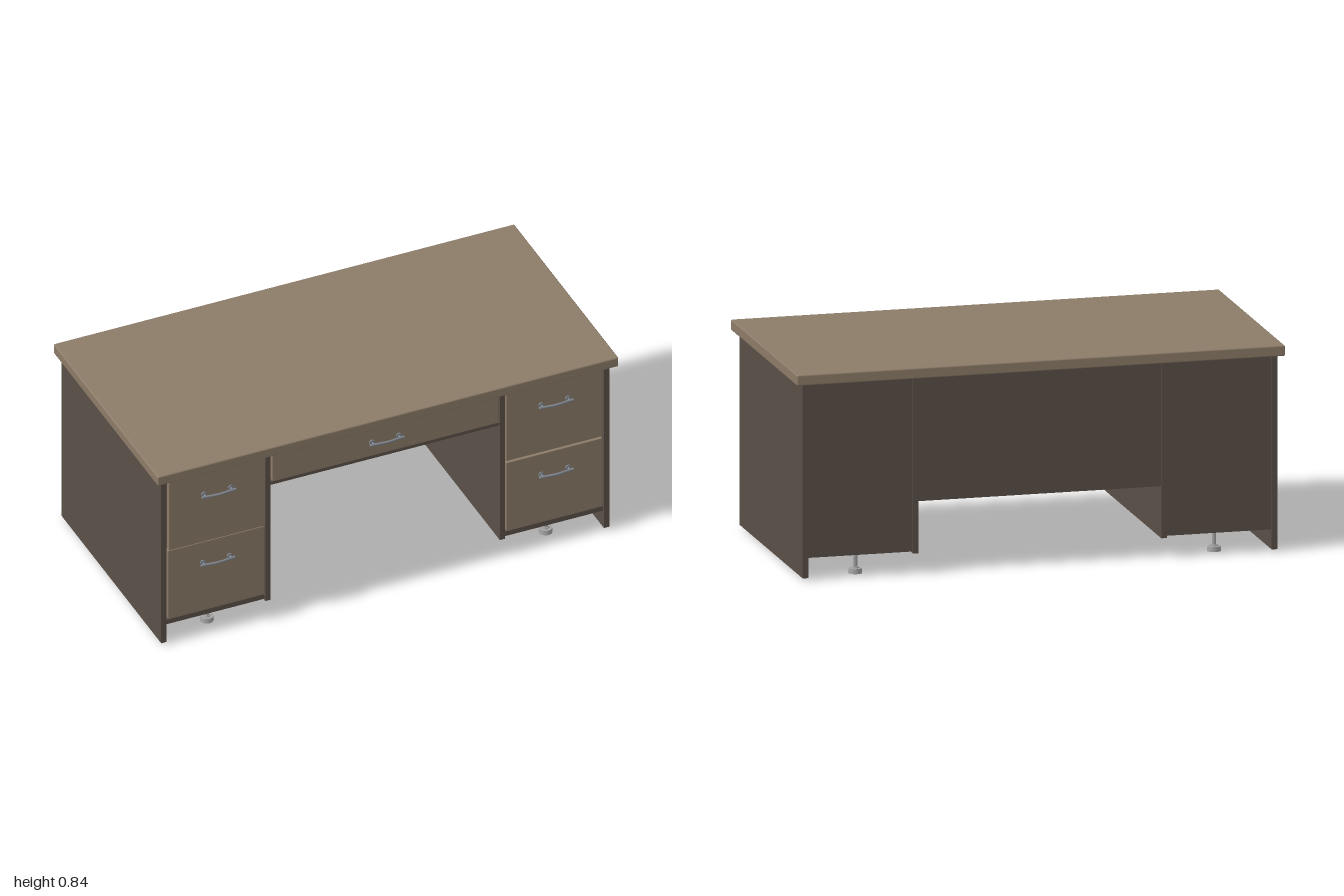
import * as THREE from 'three';
import { RoundedBoxGeometry } from 'three/addons/geometries/RoundedBoxGeometry.js';

const material = (name, color) => {
  const m = new THREE.MeshStandardMaterial({ color });
  m.name = name;
  return m;
};

export function createModel() {
  const desk = new THREE.Group();
  desk.name = 'desk';
  const tan = material('tan laminate', 0x8c7b68);
  const brown = material('dark brown panel', 0x5a5047);
  const steel = material('grey steel', 0x7d838a);
  const pale = material('pale metal', 0xa3a3a3);

  const add = (parent, name, geometry, mat, x = 0, y = 0, z = 0) => {
    const mesh = new THREE.Mesh(geometry, mat);
    mesh.name = name;
    mesh.position.set(x, y, z);
    parent.add(mesh);
    return mesh;
  };
  // Box given by its limits on each axis, with optional softened edges
  const slab = (parent, name, mat, [x0, x1], [y0, y1], [z0, z1], r = 0) => {
    const size = [x1 - x0, y1 - y0, z1 - z0];
    const geometry = r ? new RoundedBoxGeometry(...size, 2, r) : new THREE.BoxGeometry(...size);
    return add(parent, name, geometry, mat, (x0 + x1) / 2, (y0 + y1) / 2, (z0 + z1) / 2);
  };

  // Bow handle: two mounting plates, two posts and a slightly curved bar
  const bow = new THREE.CatmullRomCurve3([
    new THREE.Vector3(-0.07, 0, 0.02), new THREE.Vector3(-0.045, 0, 0.022),
    new THREE.Vector3(0, 0, 0.026), new THREE.Vector3(0.045, 0, 0.022),
    new THREE.Vector3(0.07, 0, 0.02),
  ]);
  const addHandle = (parent, x, y, z) => {
    const handle = new THREE.Group();
    handle.name = 'handle';
    handle.position.set(x, y, z);
    add(handle, 'handleBar', new THREE.TubeGeometry(bow, 20, 0.0055, 8), steel);
    for (const s of [-1, 1]) {
      const plate = add(handle, 'handlePlate', new THREE.CylinderGeometry(0.012, 0.012, 0.006, 16), steel, s * 0.058, 0, 0.003);
      const post = add(handle, 'handlePost', new THREE.CylinderGeometry(0.005, 0.005, 0.02, 10), steel, s * 0.058, 0, 0.011);
      const cap = add(handle, 'handleEnd', new THREE.SphereGeometry(0.0065, 10, 8), steel, s * 0.07, 0, 0.02);
      plate.rotation.x = post.rotation.x = Math.PI / 2;
      cap.scale.z = 0.9;
    }
    parent.add(handle);
  };

  // Drawer: front panel, hidden box and handle; pull slides it forward
  const addDrawer = (name, [x0, x1], [y0, y1], handleY, depth, pull = 0) => {
    const drawer = new THREE.Group();
    drawer.name = name;
    drawer.position.z = pull;
    slab(drawer, 'drawerFront', tan, [x0, x1], [y0, y1], [0.447, 0.47], 0.003);
    slab(drawer, 'drawerBox', brown, [x0 + 0.012, x1 - 0.012], [y0 + 0.012, y1 - 0.012], [0.45 - depth, 0.45]);
    addHandle(drawer, (x0 + x1) / 2, handleY, 0.47);
    desk.add(drawer);
  };

  // Desk top
  slab(desk, 'deskTop', tan, [-1, 1], [0.796, 0.84], [-0.506, 0.499], 0.006);

  // Two mirrored pedestals
  for (const s of [-1, 1]) {
    const side = s < 0 ? 'right' : 'left';
    const span = (a, b) => (s > 0 ? [a, b] : [-b, -a]);
    const pedestal = new THREE.Group();
    pedestal.name = side + 'Pedestal';
    desk.add(pedestal);
    slab(pedestal, 'outerPanel', brown, span(0.949, 0.972), [0.01, 0.796], [-0.49, 0.47]);
    slab(pedestal, 'innerPanel', brown, span(0.497, 0.52), [0.083, 0.796], [-0.49, 0.47]);
    slab(pedestal, 'pedestalBack', brown, span(0.52, 0.949), [0.09, 0.796], [-0.482, -0.46]);
    slab(pedestal, 'pedestalFloor', brown, span(0.52, 0.949), [0.09, 0.112], [-0.46, 0.463]);

    const pull = s < 0 ? 0.01 : 0;
    addDrawer(side + 'UpperDrawer', span(0.525, 0.943), [0.456, 0.787], 0.686, 0.86, pull);
    addDrawer(side + 'LowerDrawer', span(0.525, 0.943), [0.119, 0.448], 0.35, 0.86);

    // Levelling feet
    for (const z of [0.383, -0.407]) {
      const foot = new THREE.Group();
      foot.name = 'levellingFoot';
      foot.position.set(s * 0.735, 0, z);
      add(foot, 'footPad', new THREE.CylinderGeometry(0.026, 0.028, 0.02, 20), pale, 0, 0.01, 0);
      add(foot, 'footNut', new THREE.CylinderGeometry(0.014, 0.016, 0.006, 6), pale, 0, 0.023, 0);
      add(foot, 'footStem', new THREE.CylinderGeometry(0.009, 0.009, 0.075, 12), pale, 0, 0.055, 0);
      pedestal.add(foot);
    }
  }

  // Kneehole: pencil drawer, shelf below it and modesty panel
  addDrawer('pencilDrawer', [-0.49, 0.49], [0.654, 0.787], 0.719, 0.6);
  slab(desk, 'drawerShelf', brown, [-0.497, 0.497], [0.636, 0.65], [-0.46, 0.466]);
  slab(desk, 'modestyPanel', brown, [-0.497, 0.497], [0.293, 0.796], [-0.482, -0.46]);

  return desk;
}
